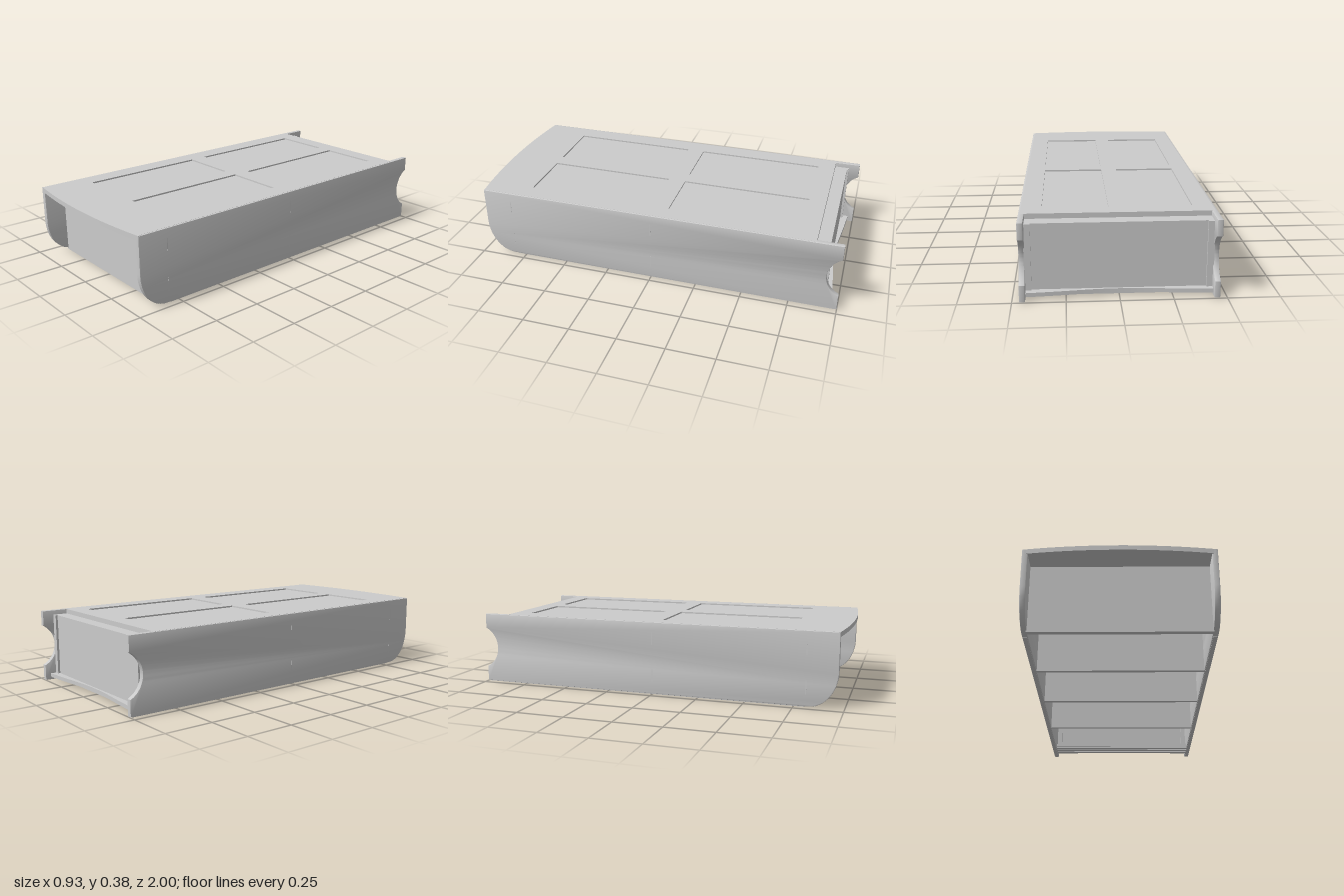
import * as THREE from 'three';
import { toCreasedNormals } from 'three/addons/utils/BufferGeometryUtils.js';

export function createModel() {
  const group = new THREE.Group();
  const material = new THREE.MeshStandardMaterial({ color: 0xcccccc });

  function add(name, geometry) {
    const mesh = new THREE.Mesh(geometry, material);
    mesh.name = name;
    group.add(mesh);
    return mesh;
  }

  // Box given by its lower and upper corners
  function box(name, x0, x1, y0, y1, z0, z1) {
    const mesh = add(name, new THREE.BoxGeometry(x1 - x0, y1 - y0, z1 - z0));
    mesh.position.set((x0 + x1) / 2, (y0 + y1) / 2, (z0 + z1) / 2);
    return mesh;
  }

  // Horizontal board: the shape is drawn in (x, z) and extruded down from y = top
  function board(name, shape, top, thickness) {
    const g = new THREE.ExtrudeGeometry(shape, { depth: thickness, bevelEnabled: false, curveSegments: 24 });
    g.rotateX(Math.PI / 2);
    g.translate(0, top, 0);
    return add(name, toCreasedNormals(g, 0.5));
  }

  // Side boards: rounded front bottom corner and an arc notch at the back, drawn in (z, y)
  const side = new THREE.Shape();
  const notchR = 0.121, notchZ = -1.051, notchY = 0.195;
  const a = Math.acos((-1 - notchZ) / notchR);
  side.moveTo(-1, 0.003);
  side.lineTo(0.82, 0.003);
  side.bezierCurveTo(0.903, 0.003, 0.968, 0.085, 0.968, 0.19);
  side.lineTo(0.968, 0.3845);
  side.lineTo(-1, 0.3845);
  side.lineTo(-1, notchY + notchR * Math.sin(a));
  side.absarc(notchZ, notchY, notchR, a, -a, true);
  side.lineTo(-1, 0.003);
  for (const s of [1, -1]) {
    const g = new THREE.ExtrudeGeometry(side, {
      depth: 0.02, bevelSize: 0.004, bevelThickness: 0.004, bevelOffset: -0.004,
      bevelSegments: 2, curveSegments: 20,
    });
    g.rotateY(-Math.PI / 2);
    g.translate(s * 0.452 + 0.01, 0, 0);
    add(s > 0 ? 'leftSide' : 'rightSide', toCreasedNormals(g, 0.6));

    // Bottom edge strip and the narrow joint tongues showing on the outer face
    box('bottomEdge', s * 0.452 - 0.01, s * 0.452 + 0.01, 0, 0.01, -0.99, 0.8);
    for (const z of [0, 0.81])
      for (const y of [0.1, 0.3])
        box('jointTongue', s * 0.46 - 0.0065, s * 0.46 + 0.0065, y - 0.035, y + 0.035, z - 0.002, z + 0.002);

    // Upright between the back panel and the side
    box('backStile', Math.min(s * 0.41, s * 0.442), Math.max(s * 0.41, s * 0.442), 0.02, 0.36, -0.94, -0.88);
  }

  // Lid with a bowed front edge and four window openings
  const lid = new THREE.Shape();
  lid.moveTo(-0.456, -0.862);
  lid.lineTo(0.456, -0.862);
  lid.lineTo(0.456, 0.94);
  lid.lineTo(0.463, 0.966);
  lid.quadraticCurveTo(0, 1.034, -0.463, 0.966);
  lid.lineTo(-0.456, 0.94);
  lid.closePath();
  for (const s of [1, -1]) {
    for (const [z0, z1] of [[-0.77, -0.07], [0.025, 0.72]]) {
      const hole = new THREE.Path();
      hole.moveTo(s * 0.042, z0);
      hole.lineTo(s * 0.36, z0);
      hole.lineTo(s * 0.36, z1);
      hole.lineTo(s * 0.042, z1);
      hole.closePath();
      lid.holes.push(hole);
      // Recessed field in each opening
      const xs = [s * 0.03, s * 0.37].sort((p, q) => p - q);
      box('lidPanel', xs[0], xs[1], 0.3605, 0.377, z0 - 0.01, z1 + 0.01);
    }
  }
  board('lid', lid, 0.385, 0.025);

  // Cross walls inside
  box('frontPanel', -0.442, 0.442, 0, 0.362, 0.83, 0.855);
  for (const z of [-0.43, 0, 0.41])
    box('divider', -0.442, 0.442, 0.003, 0.362, z - 0.01, z + 0.01);

  // Back panel with its top rail, just under the lid
  box('backPanel', -0.415, 0.415, 0.02, 0.36, -0.928, -0.905);
  box('backTopRail', -0.442, 0.442, 0.335, 0.36, -0.93, -0.85);

  // Bottom rail with a hollow rear edge and stepped underside
  const rail = new THREE.Shape();
  rail.moveTo(-0.442, -0.82);
  rail.lineTo(-0.442, -0.97);
  rail.bezierCurveTo(-0.2, -0.955, -0.15, -0.938, 0, -0.938);
  rail.bezierCurveTo(0.15, -0.938, 0.2, -0.955, 0.442, -0.97);
  rail.lineTo(0.442, -0.82);
  rail.closePath();
  board('bottomRail', rail, 0.035, 0.02);
  for (const z of [-0.915, -0.875, -0.835])
    box('railStep', -0.442, 0.442, 0.005, 0.02, z - 0.012, z + 0.012);

  return group;
}
